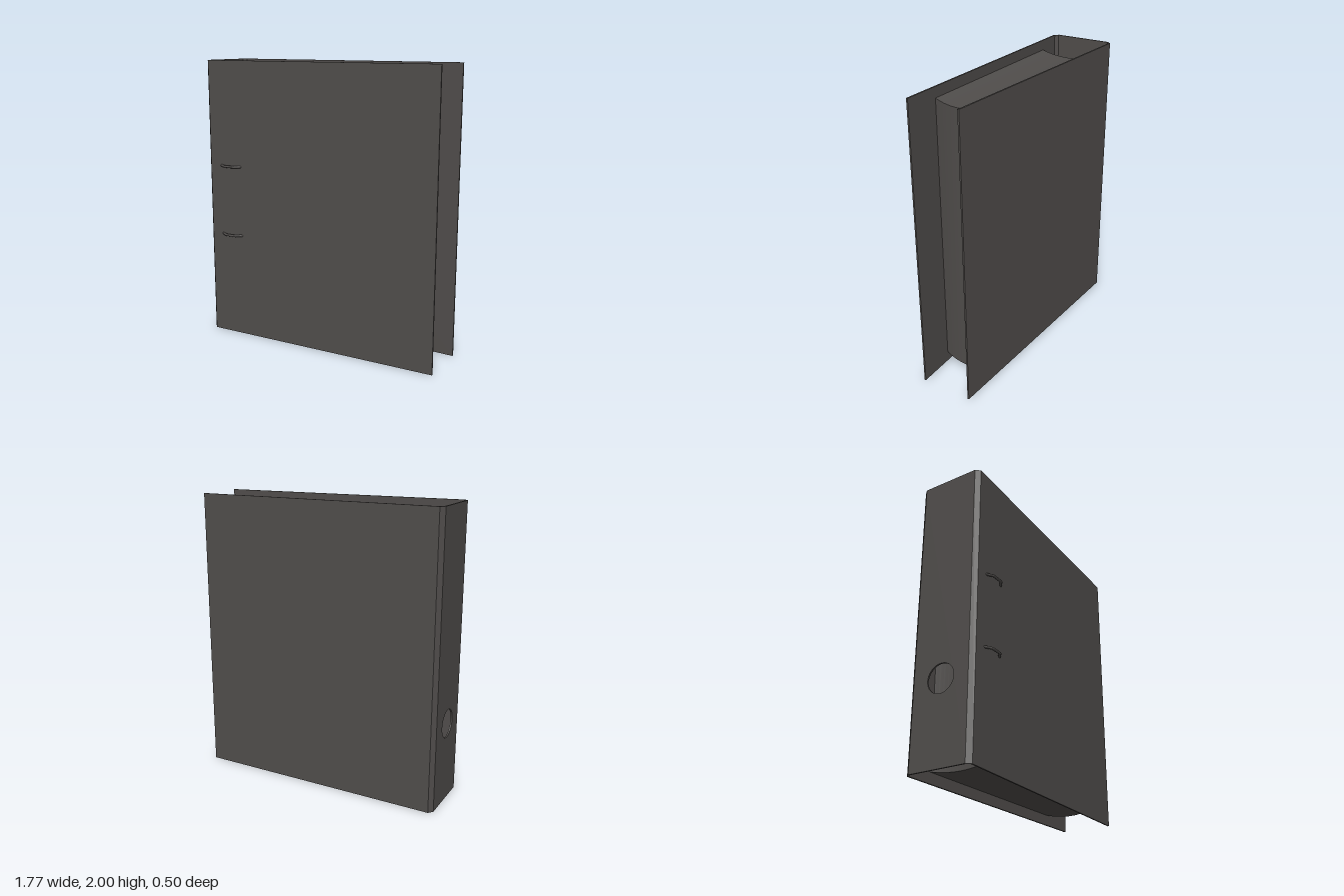
import * as THREE from 'three';
import { toCreasedNormals } from 'three/addons/utils/BufferGeometryUtils.js';

const HEIGHT = 2, THICK = 0.011;

// outer faces of the two tapering covers, as z at a given x
const backZ = (x) => -0.25 + 0.0253 * (x + 0.86);
const frontZ = (x) => 0.2135 - 0.0275 * (x + 0.86);

export function createModel() {
  const group = new THREE.Group();
  const board = new THREE.MeshStandardMaterial({ color: 0x504d4b });
  board.name = 'charcoal board';

  const add = (name, geometry) => {
    const mesh = new THREE.Mesh(geometry, board);
    mesh.name = name;
    group.add(mesh);
    return mesh;
  };

  // cover panel with a chamfered corner that meets the spine, extruded upwards
  const addCover = (name, zAt, side) => {
    const t = THICK * side;
    const tip = 0.887, bend = -0.86, edge = -0.887;
    const outer = [[tip, zAt(tip)], [bend, zAt(bend)], [edge, zAt(bend) - 0.03 * side]];
    const inner = [
      [edge + THICK, zAt(bend) - 0.03 * side - t * 0.3],
      [bend + 0.004, zAt(bend) - t],
      [tip, zAt(tip) - t],
    ];
    const shape = new THREE.Shape([...outer, ...inner].map(([x, z]) => new THREE.Vector2(x, -z)));
    const geo = new THREE.ExtrudeGeometry(shape, { depth: HEIGHT, bevelEnabled: false });
    geo.rotateX(-Math.PI / 2);
    add(name, toCreasedNormals(geo, 0.6));
  };
  addCover('frontCover', frontZ, 1);
  addCover('backCover', backZ, -1);

  // spine panel with a round finger hole
  const z0 = backZ(-0.86) + 0.03, z1 = frontZ(-0.86) - 0.03;
  const panel = new THREE.Shape([
    new THREE.Vector2(-z0, 0), new THREE.Vector2(-z0, HEIGHT),
    new THREE.Vector2(-z1, HEIGHT), new THREE.Vector2(-z1, 0),
  ]);
  const hole = new THREE.Path();
  hole.absarc(0.018, 0.555, 0.097, 0, Math.PI * 2, true);
  panel.holes.push(hole);
  const spineGeo = new THREE.ExtrudeGeometry(panel, { depth: THICK, bevelEnabled: false, curveSegments: 24 });
  spineGeo.rotateY(Math.PI / 2);
  spineGeo.translate(-0.887, 0, 0);
  add('spine', toCreasedNormals(spineGeo, 0.6));

  // sheet stack: a block whose middle sheets slide outwards and down
  const paper = new THREE.BoxGeometry(1, 1, 1, 1, 1, 14);
  const pos = paper.attributes.position;
  for (let i = 0; i < pos.count; i++) {
    const t = pos.getZ(i);
    const bulge = 1 - 4 * t * t;
    const x = (pos.getX(i) < 0 ? -0.678 : 0.63) + 0.022 * bulge;
    const y = (pos.getY(i) < 0 ? 0.072 : 1.93) - 0.022 * bulge;
    const back = backZ(x) + THICK + 0.001, front = frontZ(x) - THICK - 0.001;
    pos.setXYZ(i, x, y, THREE.MathUtils.lerp(back, front, t + 0.5));
  }
  paper.computeVertexNormals();
  add('paperStack', paper);

  // binder rings that poke through the front cover
  const path = new THREE.CatmullRomCurve3([
    [-0.777, -0.24], [-0.777, 0.19], [-0.765, 0.21], [-0.725, 0.236],
    [-0.645, 0.236], [-0.61, 0.21], [-0.6, 0.19], [-0.6, -0.235],
  ].map(([x, z]) => new THREE.Vector3(x, 0, z)), false, 'catmullrom', 0.1);
  const ringGeo = new THREE.TubeGeometry(path, 90, 0.009, 8);
  for (const [name, y] of [['upperRing', 1.255], ['lowerRing', 0.75]]) {
    add(name, ringGeo).position.y = y;
  }

  return group;
}
